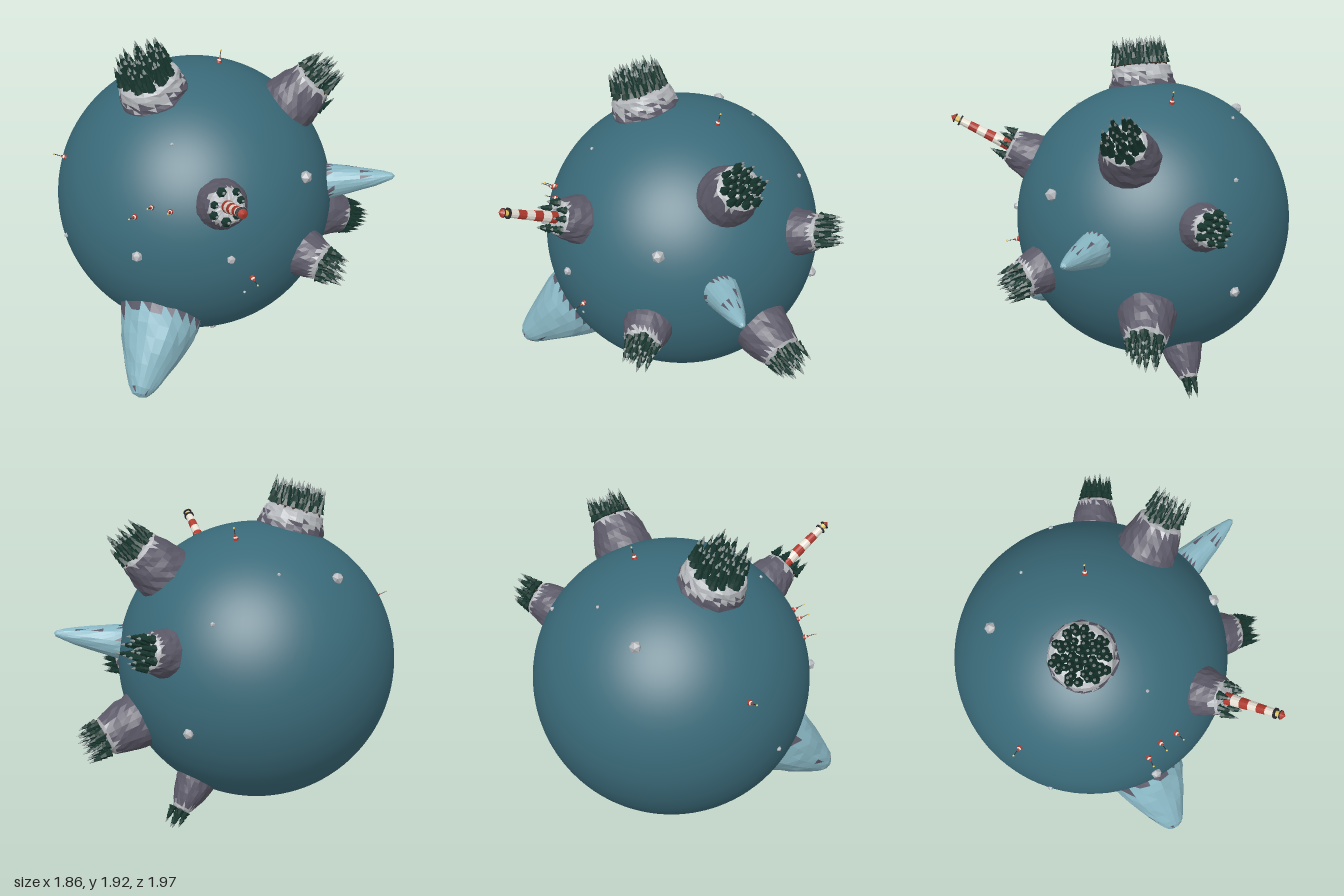
import * as THREE from 'three';
import { mergeGeometries } from 'three/addons/utils/BufferGeometryUtils.js';

const CENTER = new THREE.Vector3(-0.13, 0.883, 0.013);
const R = 0.807;
const UP = new THREE.Vector3(0, 1, 0);

let seed = 7;
function rand() {
  seed = (seed * 16807) % 2147483647;
  return seed / 2147483647;
}

const flat = (color) => new THREE.MeshStandardMaterial({ color, flatShading: true });
const MAT = {
  sea: new THREE.MeshStandardMaterial({ color: 0x3a6a79 }),
  rock: flat(0x5c5a68), snow: flat(0xb4b7bb), ice: flat(0x88b6c3),
  leaf: flat(0x17362e), tip: flat(0x8d9896), trunk: flat(0x3a2a20),
  red: flat(0xb03a2e), white: flat(0xe6e0d4), lamp: flat(0xe8c860), dark: flat(0x2a2a2e),
};

function add(parent, name, geometry, material, y = 0) {
  const mesh = new THREE.Mesh(geometry, material);
  mesh.name = name;
  mesh.position.y = y;
  parent.add(mesh);
  return mesh;
}

// Group whose +y axis points outward from the globe; local y is the distance from its centre.
function radialGroup(name, dir) {
  const g = new THREE.Group();
  g.name = name;
  g.position.copy(CENTER);
  g.quaternion.setFromUnitVectors(UP, new THREE.Vector3(...dir).normalize());
  return g;
}

// Turned, roughened body whose triangles are split between two materials by a rule.
function splitBody(group, profile, segments, rough, isUpper, names, mats) {
  const geo = new THREE.LatheGeometry(profile.map((p) => new THREE.Vector2(...p)), segments);
  const pos = geo.attributes.position;
  const n = profile.length;
  for (let i = 0; i < segments; i++) {
    for (let j = 0; j < n; j++) {
      const k = i * n + j;
      const s = 1 + (rand() - 0.5) * rough;
      const dy = profile[j][0] > 0 ? (rand() - 0.5) * rough * 0.08 : 0;
      pos.setXYZ(k, pos.getX(k) * s, pos.getY(k) + dy, pos.getZ(k) * s);
      if (i === 0) pos.setXYZ(segments * n + j, pos.getX(k), pos.getY(k), pos.getZ(k));
    }
  }
  const tri = geo.toNonIndexed().attributes.position;
  const parts = [[], []];
  for (let t = 0; t < tri.count; t += 3) {
    const y = (tri.getY(t) + tri.getY(t + 1) + tri.getY(t + 2)) / 3;
    const out = parts[isUpper(y) ? 1 : 0];
    for (let v = t; v < t + 3; v++) out.push(tri.getX(v), tri.getY(v), tri.getZ(v));
  }
  parts.forEach((p, i) => {
    const g = new THREE.BufferGeometry();
    g.setAttribute('position', new THREE.Float32BufferAttribute(p, 3));
    g.computeVertexNormals();
    add(group, names[i], g, mats[i]);
  });
}

// Grove of tiered firs spread over a plateau in a sunflower pattern.
function grove(group, count, inner, radius, y, height) {
  const leaves = [], tips = [], trunks = [];
  for (let i = 0; i < count; i++) {
    const r = inner + (radius - inner) * Math.sqrt((i + 0.5) / count);
    const a = i * 2.39996 + rand() * 0.3;
    const h = height * (0.75 + rand() * 0.4), w = 0.026 * (0.85 + rand() * 0.3);
    const put = (list, g, dy) => list.push(g.translate(Math.cos(a) * r, y + dy, Math.sin(a) * r));
    put(trunks, new THREE.CylinderGeometry(w * 0.25, w * 0.25, h * 0.3, 5), h * 0.08);
    for (let k = 0; k < 3; k++) {
      put(leaves, new THREE.ConeGeometry(w * (1 - k * 0.2), h * 0.42, 6).rotateY(rand() * 3), h * (0.32 + k * 0.21));
    }
    put(tips, new THREE.ConeGeometry(w * 0.33, h * 0.2, 6), h * 0.9);
  }
  add(group, 'treeTrunks', mergeGeometries(trunks), MAT.trunk);
  add(group, 'treeFoliage', mergeGeometries(leaves), MAT.leaf);
  add(group, 'treeTips', mergeGeometries(tips), MAT.tip);
}

// Rocky island with a snowy plateau and a grove.
function island({ dir, top, base, rim, trees, height, inner = 0, snow = 0.025 }) {
  const g = radialGroup('island', dir);
  const foot = 0.74, profile = [];
  for (let j = 0; j <= 6; j++) {
    const t = j / 6;
    profile.push([base + (rim - base) * t ** 1.6, foot + (top - 0.015 - foot) * t]);
  }
  profile.push([rim * 0.85, top], [rim * 0.45, top + 0.005], [0, top + 0.005]);
  splitBody(g, profile, 26, 0.07, (y) => y > top - snow * (0.6 + rand() * 0.9),
    ['islandRock', 'islandSnow'], [MAT.rock, MAT.snow]);
  grove(g, trees, inner, rim * 0.92, top - 0.01, height);
  return g;
}

// Iceberg with a rocky foot and a few bare patches.
function iceberg(dir, profile, foot) {
  const g = radialGroup('iceberg', dir);
  splitBody(g, profile, 22, 0.06, (y) => y > foot + rand() * 0.02 && rand() > 0.03,
    ['icebergFoot', 'icebergIce'], [MAT.rock, MAT.ice]);
  return g;
}

// Striped tower with gallery, lamp and cap.
function lighthouse(dir, y0, y1) {
  const g = radialGroup('lighthouse', dir);
  const bands = 6, step = (y1 - y0 - 0.065) / bands;
  const rad = (k) => 0.036 - 0.013 * (k / bands);
  for (let k = 0; k < bands; k++) {
    add(g, 'towerBand', new THREE.CylinderGeometry(rad(k + 1), rad(k), step, 12),
      k % 2 ? MAT.white : MAT.red, y0 + step * (k + 0.5));
  }
  const y = y1 - 0.065;
  add(g, 'gallery', new THREE.CylinderGeometry(0.031, 0.031, 0.009, 12), MAT.dark, y + 0.004);
  add(g, 'lamp', new THREE.CylinderGeometry(0.017, 0.017, 0.028, 8), MAT.lamp, y + 0.022);
  add(g, 'capRim', new THREE.CylinderGeometry(0.027, 0.027, 0.006, 12), MAT.dark, y + 0.038);
  add(g, 'cap', new THREE.ConeGeometry(0.026, 0.025, 12), MAT.red, y + 0.053);
  return g;
}

// Floating buoy with a thin mast and a light.
function buoy(dir) {
  const g = radialGroup('buoy', dir);
  add(g, 'buoyFloat', new THREE.CylinderGeometry(0.013, 0.017, 0.016, 8), MAT.red, R + 0.004);
  add(g, 'buoyBand', new THREE.CylinderGeometry(0.008, 0.013, 0.008, 8), MAT.white, R + 0.016);
  add(g, 'buoyCone', new THREE.ConeGeometry(0.008, 0.02, 8), MAT.red, R + 0.03);
  add(g, 'buoyMast', new THREE.CylinderGeometry(0.002, 0.002, 0.05, 5), MAT.dark, R + 0.045);
  add(g, 'buoyLight', new THREE.SphereGeometry(0.006, 6, 5), MAT.lamp, R + 0.072);
  return g;
}

function floe(dir, size) {
  const g = radialGroup('iceFloe', dir);
  add(g, 'iceChunk', new THREE.IcosahedronGeometry(size, 0), MAT.snow, R + size * 0.2).rotation.y = rand() * 3;
  return g;
}

export function createModel() {
  seed = 7;
  const model = new THREE.Group();
  model.name = 'oceanGlobe';
  add(model, 'sea', new THREE.SphereGeometry(R, 96, 64), MAT.sea).position.copy(CENTER);

  const beacon = [0.662, 0.447, 0.6];
  [
    { dir: [-0.115, 0.857, 0.277], top: 0.905, base: 0.2, rim: 0.17, trees: 52, height: 0.16, snow: 0.075 },
    { dir: [0.54, 0.727, -0.447], top: 1.0, base: 0.178, rim: 0.125, trees: 24, height: 0.145 },
    { dir: [0.25, 0.29, -0.85], top: 0.94, base: 0.142, rim: 0.1, trees: 16, height: 0.14 },
    { dir: [0.61, -0.333, -0.74], top: 1.01, base: 0.168, rim: 0.115, trees: 20, height: 0.14 },
    { dir: [0.19, -0.76, -0.6], top: 0.985, base: 0.125, rim: 0.058, trees: 4, height: 0.13 },
    { dir: [0.92, -0.15, 0.015], top: 0.93, base: 0.147, rim: 0.105, trees: 19, height: 0.13 },
    { dir: beacon, top: 0.95, base: 0.148, rim: 0.1, trees: 8, height: 0.11, inner: 0.06 },
  ].forEach((spec) => model.add(island(spec)));

  model.add(lighthouse(beacon, 0.945, 1.335));

  model.add(iceberg([0.225, -0.625, 0.745], [[0.245, 0.7], [0.242, 0.76], [0.232, 0.82], [0.215, 0.88],
    [0.192, 0.95], [0.162, 1.03], [0.13, 1.1], [0.1, 1.17], [0.075, 1.22], [0.045, 1.255], [0, 1.27]], 0.785));
  model.add(iceberg([1.025, 0.18, -0.57], [[0.105, 0.74], [0.102, 0.79], [0.095, 0.84], [0.082, 0.91],
    [0.067, 0.99], [0.05, 1.07], [0.033, 1.13], [0.018, 1.175], [0, 1.19]], 0.79));

  // Buoys
  [[-0.54, 0.305, 0.52], [0.14, 0.272, 0.747], [0.22, 0.337, 0.7], [0.32, 0.327, 0.665],
    [0.7, -0.108, 0.417], [0.03, 0.79, -0.213]].forEach((d) => model.add(buoy(d)));

  // Ice floes: direction and size
  [[-0.54, 0.6, -0.1, 0.035], [0.18, 0.05, 0.785, 0.033], [0.62, 0.05, 0.52, 0.026],
    [-0.42, -0.1, 0.68, 0.015], [-0.18, -0.78, 0.15, 0.022], [0.2, 0.62, 0.48, 0.011],
    [0.65, -0.208, 0.43, 0.009], [0.73, 0.335, -0.04, 0.038], [0.29, -0.72, 0.227, 0.026],
    [0.13, -0.778, -0.17, 0.02], [0.03, -0.168, -0.79, 0.032], [-0.06, 0.44, -0.673, 0.015],
    [-0.3, 0.66, -0.353, 0.011]].forEach(([x, y, z, s]) => model.add(floe([x, y, z], s)));

  return model;
}
